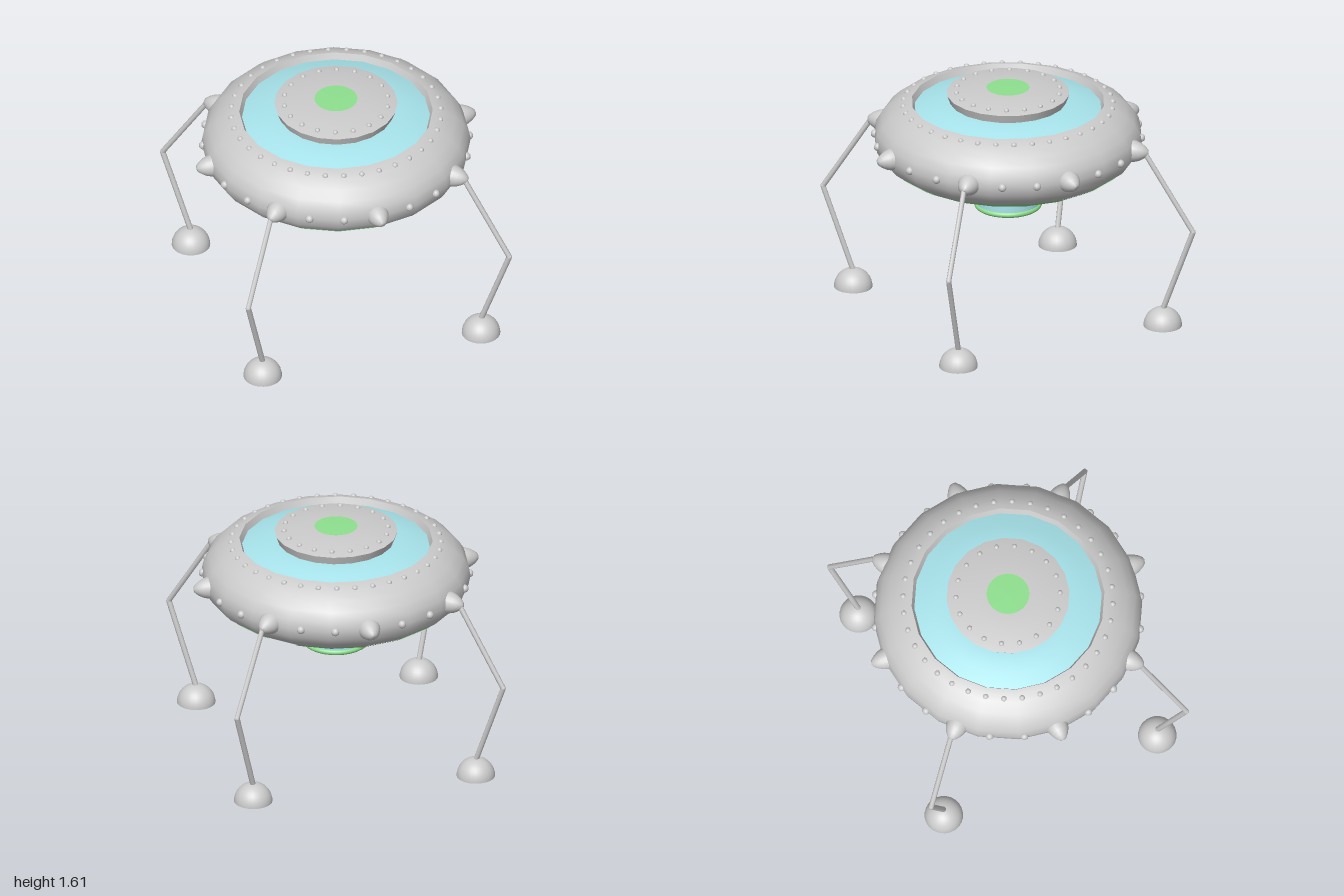
import * as THREE from 'three';

const SIDES = 20;
const mat = (color) => new THREE.MeshStandardMaterial({ color, side: THREE.DoubleSide });
const grey = mat(0xcccccc), blue = mat(0xa8e4ec), green = mat(0x8ee08e);

function add(parent, name, geometry, material) {
  const mesh = new THREE.Mesh(geometry, material);
  mesh.name = name;
  parent.add(mesh);
  return mesh;
}

const lathe = (points, segments = SIDES) =>
  new THREE.LatheGeometry(points.map(([r, y]) => new THREE.Vector2(r, y)), segments);

// Ring of small round rivets; skip leaves out every nth one
function rivetRing(parent, name, count, radius, y, size, offset = 0, skip = 0) {
  const ring = new THREE.Group();
  ring.name = name;
  const geometry = new THREE.SphereGeometry(size, 10, 8);
  for (let i = 0; i < count; i++) {
    if (skip && i % skip === 0) continue;
    const a = ((i + offset) / count) * Math.PI * 2;
    add(ring, 'rivet', geometry, grey).position.set(radius * Math.sin(a), y, radius * Math.cos(a));
  }
  parent.add(ring);
  return ring;
}

// Straight rod between two points
function rod(parent, name, a, b, radius) {
  const dir = b.clone().sub(a);
  const mesh = add(parent, name, new THREE.CylinderGeometry(radius, radius, dir.length(), 8), grey);
  mesh.position.copy(a).add(b).multiplyScalar(0.5);
  mesh.quaternion.setFromUnitVectors(new THREE.Vector3(0, 1, 0), dir.normalize());
}

export function createModel() {
  const saucer = new THREE.Group();
  saucer.name = 'saucer';

  // Hull, with its green band lying just proud of the underside
  add(saucer, 'hull', lathe([
    [0, 0.89], [0.24, 0.9], [0.36, 0.925], [0.48, 0.955], [0.6, 0.99], [0.71, 1.032],
    [0.795, 1.08], [0.86, 1.13], [0.898, 1.185], [0.912, 1.25], [0.9, 1.315],
    [0.865, 1.375], [0.81, 1.43], [0.74, 1.475], [0.69, 1.495], [0.655, 1.503],
  ]), grey);
  add(saucer, 'hullBand', lathe([[0.712, 1.029], [0.797, 1.077]]), green);
  add(saucer, 'rimWall', lathe([[0.655, 1.503], [0.635, 1.455]]), grey);

  // Shallow window dish around the hatch
  add(saucer, 'window', lathe([[0.637, 1.458], [0.54, 1.487], [0.45, 1.505], [0.36, 1.515], [0, 1.52]]), blue);

  // Top hatch
  add(saucer, 'hatchSide', lathe([[0.395, 1.508], [0.417, 1.57]]), grey);
  add(saucer, 'hatchTop', lathe([[0.417, 1.57], [0.36, 1.582], [0.25, 1.597], [0.145, 1.604], [0, 1.606]]), grey);
  add(saucer, 'hatchBase', lathe([[0, 1.51], [0.395, 1.508]]), grey);
  add(saucer, 'hatchLight', lathe([[0.145, 1.606], [0, 1.608]], 32), green);

  // Lower pod with its green lip
  add(saucer, 'pod', new THREE.CylinderGeometry(0.22, 0.22, 0.16, 32), blue).position.y = 0.835;
  const lip = add(saucer, 'podLip', new THREE.TorusGeometry(0.211, 0.02, 10, 40), green);
  lip.rotation.x = Math.PI / 2;
  lip.position.y = 0.755;

  // Rivets
  rivetRing(saucer, 'rimRivets', 36, 0.71, 1.48, 0.02, 0.5);
  rivetRing(saucer, 'hatchRivets', 18, 0.353, 1.582, 0.018);
  rivetRing(saucer, 'podRivets', 16, 0.25, 0.9, 0.014, 0.5);
  rivetRing(saucer, 'waistRivets', 24, 0.902, 1.25, 0.028, 0, 3).rotation.y = -0.012;

  // Eight blunt studs around the waist
  const studShape = lathe([[0.076, 0.86], [0.074, 0.9], [0.062, 0.935], [0.045, 0.965], [0.024, 0.99], [0, 0.998]], 20);
  studShape.rotateX(Math.PI / 2);
  for (let i = 0; i < 8; i++) {
    const stud = add(saucer, 'stud', studShape, grey);
    stud.position.y = 1.25;
    stud.rotation.y = (i * Math.PI) / 4 - 0.012;
  }

  // Four bent legs with domed feet, on the diagonals
  const hip = new THREE.Vector3(0, 1.26, 0.965);
  const knee = new THREE.Vector3(0, 0.71, 1.315);
  const ankle = new THREE.Vector3(0, 0.1, 1.095);
  for (let i = 0; i < 4; i++) {
    const leg = new THREE.Group();
    leg.name = 'leg';
    rod(leg, 'upperLeg', hip, knee, 0.018);
    rod(leg, 'lowerLeg', knee, ankle, 0.019);
    add(leg, 'knee', new THREE.SphereGeometry(0.019, 8, 6), grey).position.copy(knee);
    const foot = add(leg, 'foot', new THREE.SphereGeometry(0.131, 24, 10, 0, Math.PI * 2, 0, Math.PI / 2), grey);
    foot.position.z = 1.1;
    const sole = add(leg, 'sole', new THREE.CircleGeometry(0.131, 24), grey);
    sole.rotation.x = Math.PI / 2;
    sole.position.z = 1.1;
    leg.rotation.y = Math.PI / 4 + (i * Math.PI) / 2 - 0.018;
    saucer.add(leg);
  }
  return saucer;
}
